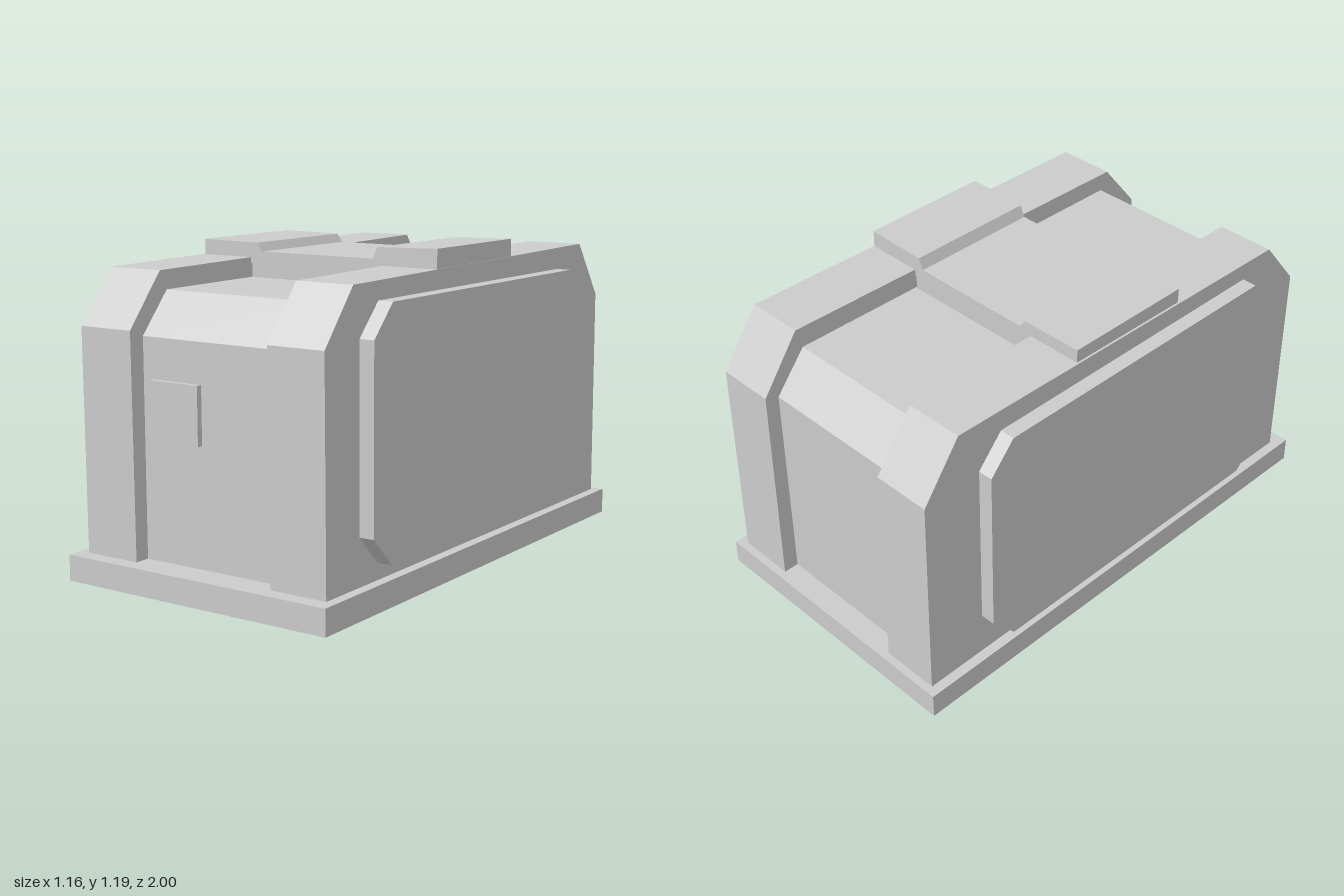
import * as THREE from 'three';

export function createModel() {
  const model = new THREE.Group();
  const material = new THREE.MeshStandardMaterial({ color: 0xcccccc, flatShading: true });

  const add = (name, geometry) => {
    const mesh = new THREE.Mesh(geometry, material);
    mesh.name = name;
    model.add(mesh);
    return mesh;
  };
  const box = (name, x0, x1, y0, y1, z0, z1) =>
    add(name, new THREE.BoxGeometry(x1 - x0, y1 - y0, z1 - z0)
      .translate((x0 + x1) / 2, (y0 + y1) / 2, (z0 + z1) / 2));
  const extrude = (points, depth) => new THREE.ExtrudeGeometry(
    new THREE.Shape(points.map(([u, v]) => new THREE.Vector2(u, v))),
    { depth, bevelEnabled: false });
  // Side profile given as [z, y], spanning x0 to x1
  const sideProfile = (name, points, x0, x1) =>
    add(name, extrude(points, x1 - x0).rotateY(-Math.PI / 2).translate(x1, 0, 0));

  // Base plinth
  box('base', -0.563, 0.563, 0, 0.097, -1, 1);

  // Recessed central body with sloped shoulders
  sideProfile('centralBody', [
    [0.88, 0.09], [0.88, 0.895], [0.75, 1.045],
    [-0.785, 1.053], [-0.91, 0.9], [-0.91, 0.09],
  ], -0.3, 0.3);

  const ribProfile = [
    [0.94, 0.09], [0.945, 0.92], [0.785, 1.115],
    [-0.81, 1.135], [-0.965, 0.92], [-0.97, 0.09],
  ];
  const panelProfile = [
    [0.75, 0.27], [0.75, 0.935], [0.64, 1.05], [-0.62, 1.05],
    [-0.722, 0.935], [-0.722, 0.27], [-0.62, 0.157], [0.64, 0.157],
  ];
  for (const [side, s] of [['left', 1], ['right', -1]]) {
    const span = (a, b) => (s > 0 ? [a, b] : [-b, -a]);
    // Raised side body and the clipped-corner panel on its outer face
    sideProfile(side + 'SideBody', ribProfile, ...span(0.296, 0.524));
    sideProfile(side + 'SidePanel', panelProfile, ...span(0.515, 0.582));
  }

  // Stepped saddle across the roof
  add('roofSaddle', extrude([
    [-0.515, 1.1], [-0.517, 1.18], [-0.268, 1.177], [-0.244, 1.145],
    [0.253, 1.145], [0.273, 1.187], [0.522, 1.193], [0.522, 1.1],
    [0.29, 1.1], [0.29, 1.04], [-0.29, 1.04], [-0.29, 1.1],
  ], 0.522).translate(0, 0, -0.252));

  // Small plate on the front
  box('frontPlate', -0.254, -0.038, 0.535, 0.747, 0.87, 0.902);

  return model;
}
